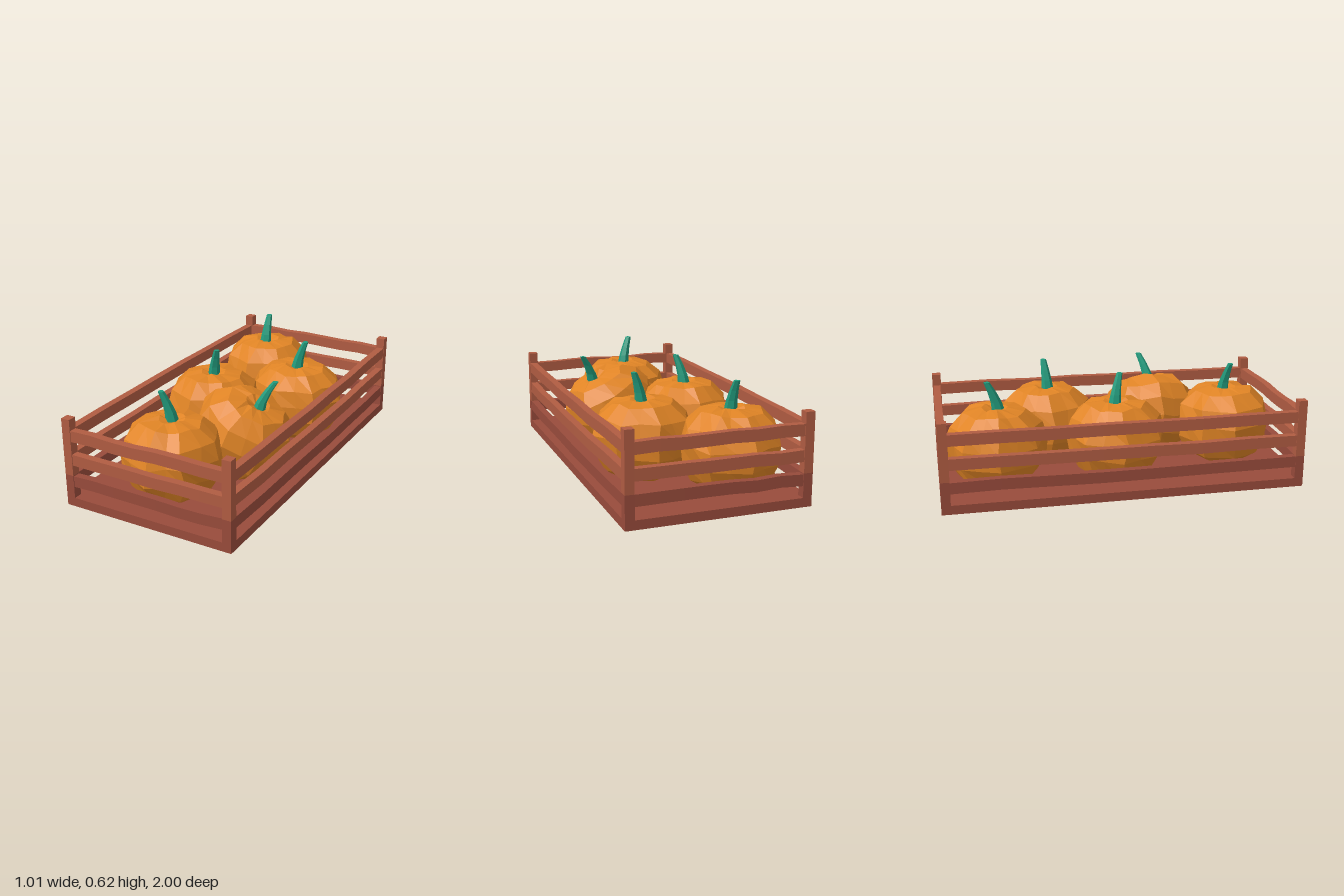
import * as THREE from 'three';

const flat = (name, color) => {
  const m = new THREE.MeshStandardMaterial({ color, flatShading: true });
  m.name = name;
  return m;
};

// Repeatable scatter in the range -1..1
const scatter = (a, b, c) => {
  const s = Math.sin(a * 12.99 + b * 78.23 + c * 37.72) * 43758.55;
  return (s - Math.floor(s)) * 2 - 1;
};

function moveVertices(geometry, rule) {
  const p = geometry.attributes.position;
  const v = new THREE.Vector3();
  for (let i = 0; i < p.count; i++) {
    v.fromBufferAttribute(p, i);
    rule(v, i);
    p.setXYZ(i, v.x, v.y, v.z);
  }
  geometry.computeVertexNormals();
  return geometry;
}

export function createModel() {
  const darkWood = flat('dark wood', 0x984b3b);
  const lightWood = flat('light wood', 0xb05c42);
  const orange = flat('pumpkin orange', 0xe08425);
  const green = flat('stem green', 0x229a7c);

  const model = new THREE.Group();
  model.name = 'pumpkinCrate';
  const add = (parent, name, geometry, material, x = 0, y = 0, z = 0) => {
    const mesh = new THREE.Mesh(geometry, material);
    mesh.name = name;
    mesh.position.set(x, y, z);
    parent.add(mesh);
    return mesh;
  };

  // Crate floor
  const crate = new THREE.Group();
  crate.name = 'crate';
  model.add(crate);
  add(crate, 'floor', new THREE.BoxGeometry(1, 0.05, 2), darkWood, 0, 0.025, 0);

  // Corner posts, dark at the foot and lighter above
  for (const sx of [-1, 1]) for (const sz of [-1, 1]) {
    add(crate, 'postFoot', new THREE.BoxGeometry(0.05, 0.13, 0.05), darkWood, sx * 0.475, 0.115, sz * 0.975);
    add(crate, 'postTop', new THREE.BoxGeometry(0.05, 0.32, 0.05), lightWood, sx * 0.475, 0.34, sz * 0.975);
  }

  // Slats: slightly warped and bowed outward (+z before turning)
  function slat(length, bow, seed) {
    const g = new THREE.BoxGeometry(length, 0.062, 0.042, 7, 1, 1);
    return moveVertices(g, v => {
      const t = v.x / (length / 2);
      const k = Math.round((t + 1) * 3.5);
      v.z += bow * (1 - t * t);
      v.y += 0.004 * scatter(k, seed, 1);
    });
  }
  [0.147, 0.272, 0.407].forEach((y, row) => {
    const wood = row === 0 ? darkWood : lightWood;
    for (const s of [-1, 1]) {
      const side = add(crate, 'sideSlat', slat(1.9, 0.009, row * 4 + s), wood, s * 0.477, y, 0);
      side.rotation.y = s * Math.PI / 2;
      const end = add(crate, 'endSlat', slat(0.9, 0.004, row * 4 + s + 20), wood, 0, y, s * 0.975);
      end.rotation.y = s > 0 ? 0 : Math.PI;
    }
  });

  // Pumpkin body: lobed lathe with a dimpled top and uneven facets
  const profile = [[0, -0.205], [0.14, -0.215], [0.215, -0.165], [0.262, -0.07], [0.272, 0.03],
    [0.245, 0.12], [0.165, 0.195], [0.07, 0.21], [0, 0.185]].map(p => new THREE.Vector2(...p));
  function pumpkinBody(seed) {
    const columns = 16, rows = profile.length;
    const g = new THREE.LatheGeometry(profile, columns);
    return moveVertices(g, (v, i) => {
      const col = Math.floor(i / rows) % columns, row = i % rows;
      if (row === 0 || row === rows - 1) return;
      const radius = Math.hypot(v.x, v.z);
      const grow = (col % 2 ? 0.95 : 1.03) + 0.03 * scatter(col, row, seed);
      const angle = Math.atan2(v.x, v.z) + 0.07 * scatter(col, row, seed + 9);
      v.x = Math.sin(angle) * radius * grow;
      v.z = Math.cos(angle) * radius * grow;
      v.y += 0.008 * scatter(col, row, seed + 17) * (row > 1 ? 1 : 0);
    });
  }

  // Stem: tapered six-sided stalk with a curved lean
  function stemGeometry(height, leanX, leanZ) {
    const g = new THREE.CylinderGeometry(0.017, 0.036, height, 6, 3);
    return moveVertices(g, v => {
      const t = THREE.MathUtils.clamp(v.y / height + 0.5, 0, 1);
      const lean = Math.pow(t, 1.5);
      v.y += height / 2;
      v.x += leanX * lean;
      v.z += leanZ * lean;
    });
  }

  // Centre, sideways tilt, stem base and stem tip of each pumpkin
  const pumpkins = [
    { at: [-0.19, 0.265, -0.68], tilt: 0, base: [-0.195, 0.45, -0.66], tip: [-0.2, 0.62, -0.72] },
    { at: [0.18, 0.265, -0.35], tilt: 0, base: [0.185, 0.45, -0.34], tip: [0.23, 0.62, -0.355] },
    { at: [-0.195, 0.265, -0.01], tilt: 0, base: [-0.195, 0.45, -0.015], tip: [-0.155, 0.62, 0.02] },
    { at: [0.165, 0.285, 0.28], tilt: -0.45, base: [0.265, 0.43, 0.295], tip: [0.34, 0.6, 0.245] },
    { at: [-0.04, 0.265, 0.67], tilt: 0, base: [-0.045, 0.45, 0.66], tip: [-0.09, 0.62, 0.69] },
  ];
  pumpkins.forEach(({ at, tilt, base, tip }, i) => {
    const group = new THREE.Group();
    group.name = 'pumpkin';
    model.add(group);
    add(group, 'pumpkinBody', pumpkinBody(i + 1), orange, ...at).rotation.set(0, 0, tilt);
    add(group, 'stem', stemGeometry(tip[1] - base[1], tip[0] - base[0], tip[2] - base[2]), green, ...base);
  });

  return model;
}
